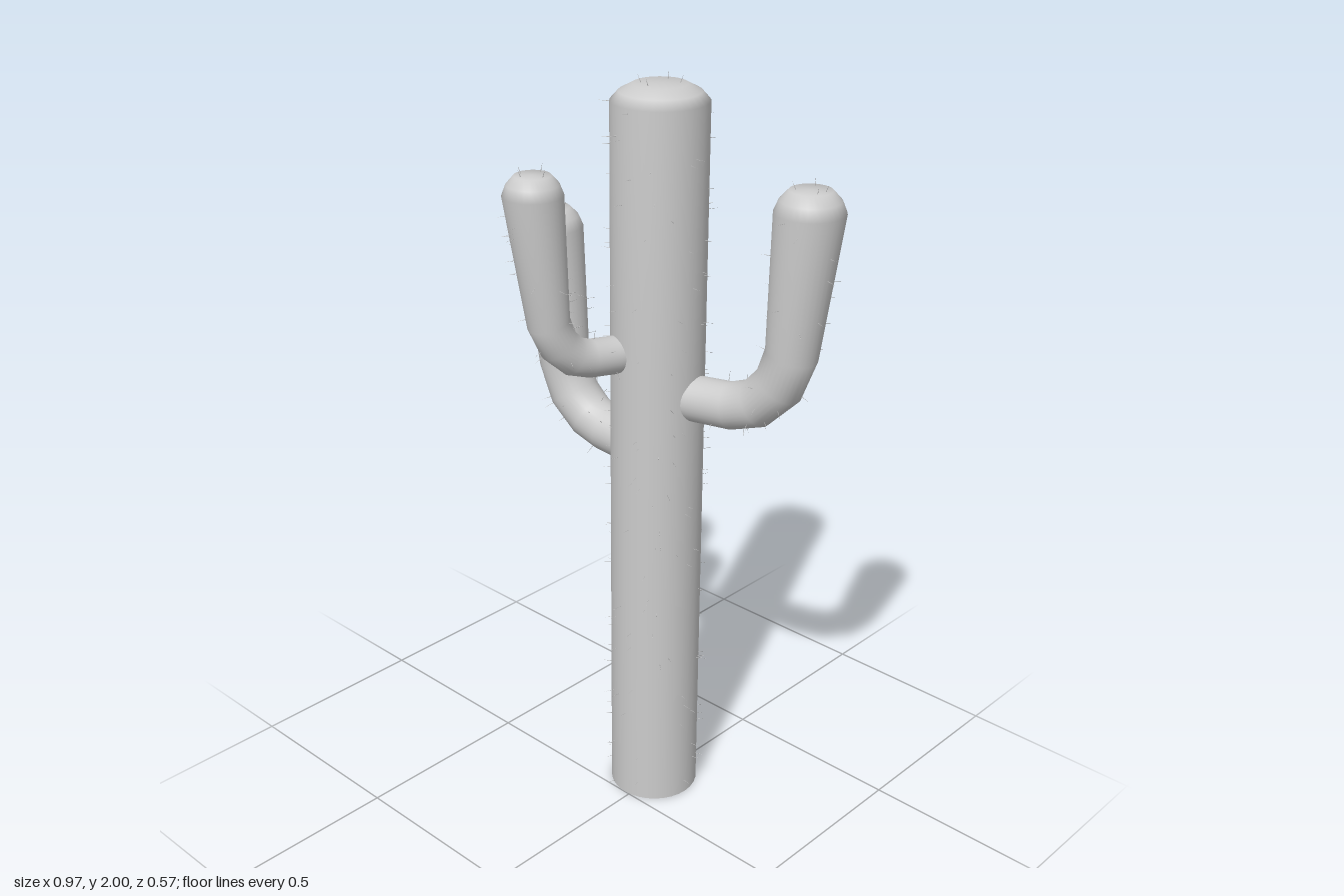
import * as THREE from 'three';
import { mergeGeometries } from 'three/addons/utils/BufferGeometryUtils.js';

const SIDES = 32;
const UP = new THREE.Vector3(0, 1, 0);

// small seeded generator for the spines
let seed = 7;
const rand = () => {
  seed = (seed * 16807) % 2147483647;
  return seed / 2147483647;
};

// stem rows are [x, y, z, radius]; a chamfered cap is added above the last one
function makeRings(rows, capHeight, capRatio) {
  const pts = rows.map(([x, y, z]) => new THREE.Vector3(x, y, z));
  const last = rows.length - 1;
  const plan = pts[last].clone().sub(pts[0]).setY(0);
  if (plan.length() < 1e-6) plan.set(1, 0, 0);
  const n = plan.normalize().cross(UP);
  const rings = rows.map((row, i) => {
    const t = i === last ? UP.clone()
      : pts[i + 1].clone().sub(pts[i]).normalize();
    if (i > 0 && i < last) t.add(pts[i].clone().sub(pts[i - 1]).normalize()).normalize();
    return { p: pts[i], r: row[3], n, u: t.clone().cross(n).normalize() };
  });
  const top = rings[last];
  for (const [h, k] of [[0.55, 0.5 + 0.5 * capRatio + 0.06], [1, capRatio], [1.01, 0]]) {
    rings.push({ ...top, p: top.p.clone().addScaledVector(UP, capHeight * h), r: top.r * k });
  }
  return rings;
}

const radial = (ring, a) => ring.n.clone().multiplyScalar(Math.cos(a))
  .addScaledVector(ring.u, Math.sin(a));

// smooth skin through the rings, open at the root
function skin(rings) {
  const pos = [], index = [];
  rings.forEach((ring, i) => {
    for (let j = 0; j < SIDES; j++) {
      const v = radial(ring, (j / SIDES) * Math.PI * 2).multiplyScalar(ring.r).add(ring.p);
      pos.push(v.x, v.y, v.z);
      if (i === rings.length - 1) continue;
      const a = i * SIDES + j, b = i * SIDES + (j + 1) % SIDES;
      index.push(a, b, a + SIDES);
      if (i < rings.length - 2) index.push(b, b + SIDES, a + SIDES);
    }
  });
  const geo = new THREE.BufferGeometry();
  geo.setAttribute('position', new THREE.Float32BufferAttribute(pos, 3));
  geo.setIndex(index);
  geo.computeVertexNormals();
  // the centre of the cap points straight up
  for (let k = pos.length / 3 - SIDES; k < pos.length / 3; k++) geo.attributes.normal.setXYZ(k, 0, 1, 0);
  return geo;
}

// one thin needle standing on the skin
function needle(base, dir, length) {
  const geo = new THREE.ConeGeometry(0.0012, length, 3, 1, true);
  geo.translate(0, length / 2, 0);
  geo.applyQuaternion(new THREE.Quaternion().setFromUnitVectors(UP, dir));
  return geo.translate(base.x, base.y, base.z);
}

// needles scattered evenly along the stem, plus a few on the cap
function spines(rings, count, first) {
  const body = rings.slice(first, -3);
  const lengths = body.slice(1).map((r, i) => r.p.distanceTo(body[i].p));
  const total = lengths.reduce((a, b) => a + b, 0);
  const list = [];
  for (let k = 0; k < count; k++) {
    let d = ((k + rand()) / count) * total, i = 0;
    while (i < lengths.length - 1 && d > lengths[i]) d -= lengths[i++];
    const f = d / lengths[i], a = rand() * Math.PI * 2;
    const A = body[i], B = body[i + 1];
    const dir = radial(A, a).lerp(radial(B, a), f).normalize();
    const base = A.p.clone().lerp(B.p, f).addScaledVector(dir, A.r + (B.r - A.r) * f - 0.004);
    dir.y += (rand() - 0.5) * 0.2;
    list.push(needle(base, dir.normalize(), 0.022 + rand() * 0.012));
  }
  const tip = rings[rings.length - 2];
  for (let k = 0; k < 4; k++) {
    const out = radial(tip, k * 1.57 + rand());
    const base = tip.p.clone().addScaledVector(out, tip.r * 0.7);
    list.push(needle(base, out.multiplyScalar(0.4).add(UP).normalize(), 0.021));
  }
  return mergeGeometries(list);
}

export function createModel() {
  const model = new THREE.Group();
  model.name = 'cactus';
  const material = new THREE.MeshStandardMaterial({ color: 0xcccccc, side: THREE.DoubleSide });

  const stems = [
    { name: 'trunk', cap: [0.04, 0.55], count: 190, first: 0, rows: [
      [-0.015, 0, -0.12, 0.12], [-0.015, 0.65, -0.12, 0.12],
      [-0.015, 1.3, -0.12, 0.12], [-0.015, 1.935, -0.12, 0.12]] },
    { name: 'leftArm', cap: [0.053, 0.6], count: 45, first: 1, rows: [
      [0.04, 1.2, -0.13, 0.058], [0.1, 1.2, -0.14, 0.059], [0.2, 1.207, -0.155, 0.06],
      [0.27, 1.232, -0.165, 0.062], [0.33, 1.295, -0.175, 0.064],
      [0.36, 1.38, -0.18, 0.065], [0.385, 1.732, -0.19, 0.085]] },
    { name: 'rightArm', cap: [0.05, 0.6], count: 45, first: 1, rows: [
      [-0.07, 1.015, -0.14, 0.062], [-0.135, 1.016, -0.14, 0.062], [-0.21, 1.023, -0.138, 0.063],
      [-0.268, 1.042, -0.135, 0.064], [-0.325, 1.095, -0.13, 0.066],
      [-0.357, 1.18, -0.126, 0.067], [-0.395, 1.547, -0.12, 0.085]] },
    { name: 'frontArm', cap: [0.048, 0.6], count: 40, first: 1, rows: [
      [-0.045, 1.312, -0.06, 0.047], [-0.06, 1.314, 0, 0.048], [-0.075, 1.321, 0.065, 0.048],
      [-0.085, 1.336, 0.108, 0.049], [-0.097, 1.375, 0.147, 0.051],
      [-0.104, 1.435, 0.172, 0.053], [-0.118, 1.753, 0.2, 0.073]] },
  ];

  for (const { name, cap, count, first, rows } of stems) {
    const rings = makeRings(rows, ...cap);
    const stem = new THREE.Mesh(skin(rings), material);
    stem.name = name;
    const hairs = new THREE.Mesh(spines(rings, count, first), material);
    hairs.name = name + 'Spines';
    model.add(stem, hairs);
  }
  return model;
}
